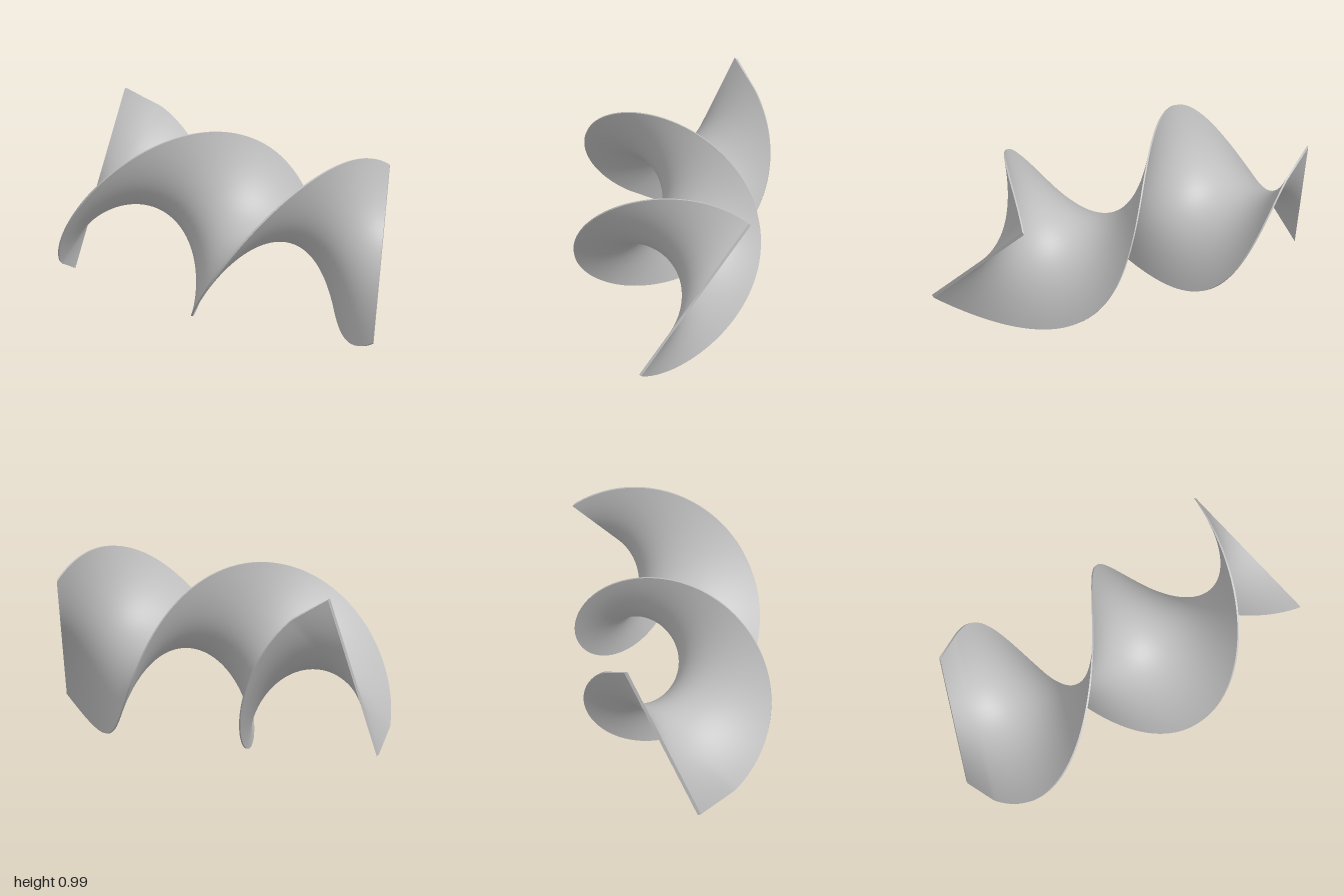
import * as THREE from 'three';

const HALF_WIDTH = 0.497, HALF_THICK = 0.009;
const Z_START = 0.845, Z_TAIL = -0.87, Z_END = -0.975;
const rad = THREE.MathUtils.degToRad;

// Maps a point of the flat strip (s across, t through the thickness) to the
// twisted and bent ribbon at centre-line position z.
function bentPoint(z, s, t) {
  const d = z + 0.2;
  const x = -0.05 + (d > 0 ? 0.182 : 0.275) * d * d;
  const bend = (v) => 7.5 + 21.2 * (v - 0.21) + 8 * (v - 0.21) * (v + 0.64);
  const tail = (Z_TAIL - z) / (Z_TAIL - Z_END);
  const beta = rad(tail > 0 ? THREE.MathUtils.lerp(bend(Z_TAIL), -8.5, tail) : bend(z));
  const theta = rad(180 + 207.5 * (0.215 - z));
  const u = s * Math.cos(theta) - t * Math.sin(theta);
  const v = s * Math.sin(theta) + t * Math.cos(theta);
  return new THREE.Vector3(x + u * Math.cos(beta), 0.5 + v, z - u * Math.sin(beta));
}

// The tail past Z_TAIL is a straight-edged piece between two rulings.
function ribbonPoint(z, s, t) {
  if (z >= Z_TAIL) return bentPoint(z, s, t);
  const k = (Z_TAIL - z) / (Z_TAIL - Z_END);
  return bentPoint(Z_TAIL, s, t).lerp(bentPoint(Z_END, s, t), k);
}

// Grid of quads from fn(row, column), each 0..1
function gridGeometry(rows, cols, fn) {
  const pos = [], index = [];
  for (let i = 0; i <= rows; i++) {
    for (let j = 0; j <= cols; j++) pos.push(...fn(i / rows, j / cols).toArray());
  }
  for (let i = 0; i < rows; i++) {
    for (let j = 0; j < cols; j++) {
      const a = i * (cols + 1) + j, b = a + 1, d = a + cols + 1, c = d + 1;
      index.push(a, c, b, a, d, c);
    }
  }
  const g = new THREE.BufferGeometry();
  g.setAttribute('position', new THREE.Float32BufferAttribute(pos, 3));
  g.setIndex(index);
  g.computeVertexNormals();
  return g;
}

export function createModel() {
  const group = new THREE.Group();
  group.name = 'twistedRibbon';
  const grey = new THREE.MeshStandardMaterial({ color: 0xc0c0c0 });
  grey.name = 'grey';
  const add = (name, geometry) => {
    const mesh = new THREE.Mesh(geometry, grey);
    mesh.name = name;
    group.add(mesh);
  };

  // Two broad faces and two thin edges, going round the cross-section
  const W = HALF_WIDTH, T = HALF_THICK;
  const sides = [
    ['lowerFace', -W, -T, W, -T, 24],
    ['firstEdge', W, -T, W, T, 1],
    ['upperFace', W, T, -W, T, 24],
    ['secondEdge', -W, T, -W, -T, 1],
  ];
  const lerp = THREE.MathUtils.lerp;
  for (const [name, s0, t0, s1, t1, cols] of sides) {
    add(name, gridGeometry(182, cols, (r, c) =>
      ribbonPoint(lerp(Z_START, Z_END, r), lerp(s0, s1, c), lerp(t0, t1, c))));
  }

  // Flat end caps
  add('frontCap', gridGeometry(1, 1, (r, c) => ribbonPoint(Z_START, lerp(-W, W, c), lerp(T, -T, r))
  ).clone());
  add('backCap', gridGeometry(1, 1, (r, c) => ribbonPoint(Z_END, lerp(-W, W, c), lerp(-T, T, r))));
  return group;
}
